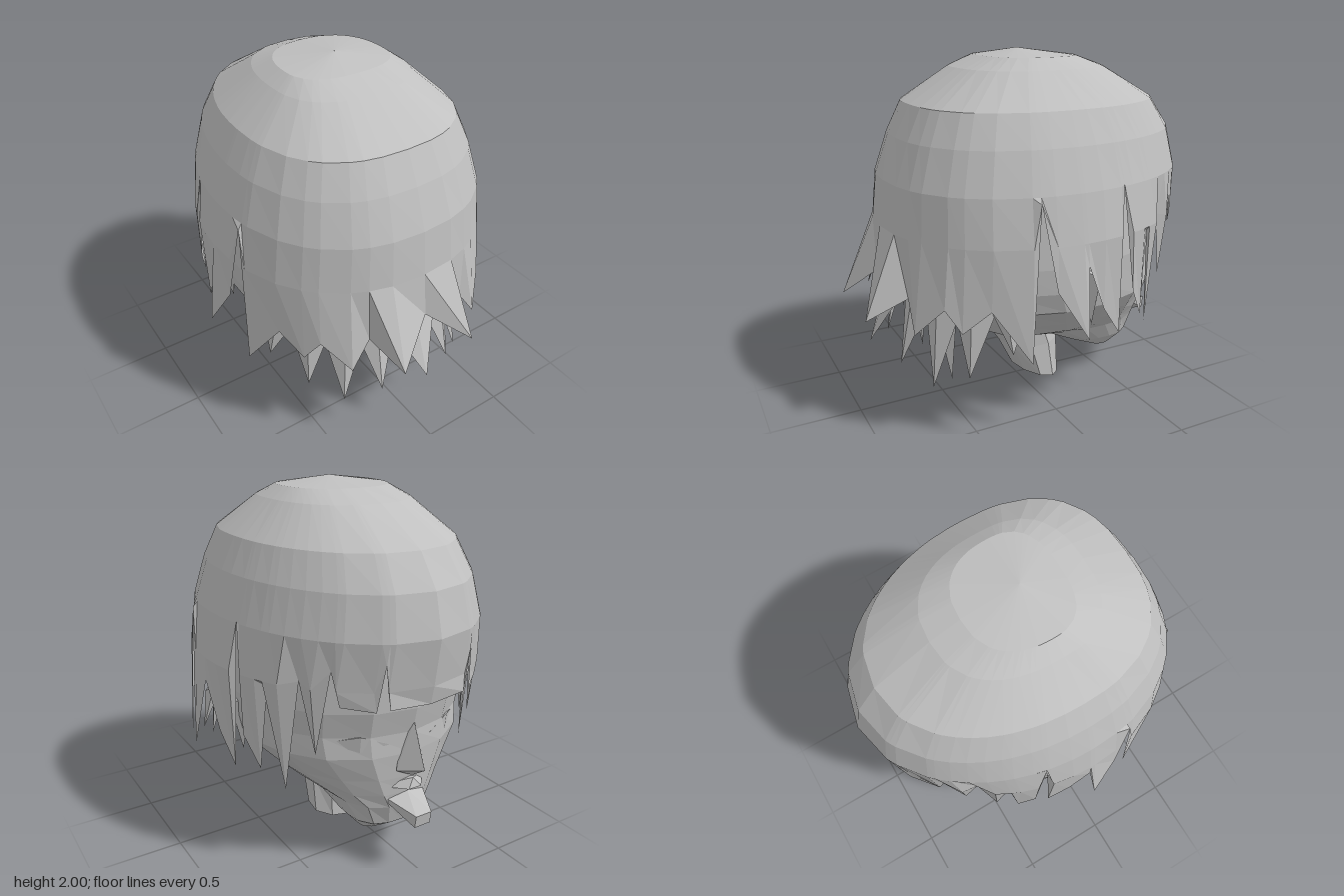
import * as THREE from 'three';
import { ConvexGeometry } from 'three/addons/geometries/ConvexGeometry.js';

const grey = new THREE.MeshStandardMaterial({ color: 0xc0c0c0, flatShading: true, side: THREE.DoubleSide });
grey.name = 'plain grey';

// Skin over closed rings of points, listed from top to bottom
function skin(rings) {
  const n = rings[0].length, index = [];
  for (let r = 0; r < rings.length - 1; r++) {
    for (let i = 0; i < n; i++) {
      const a = r * n + i, d = r * n + (i + 1) % n;
      index.push(a, a + n, d + n, a, d + n, d);
    }
  }
  const g = new THREE.BufferGeometry();
  g.setAttribute('position', new THREE.Float32BufferAttribute(rings.flat(2), 3));
  g.setIndex(index);
  const flat = g.toNonIndexed();
  flat.computeVertexNormals();
  return flat;
}

// Direction on a rounded square: power 2 is a circle, higher is squarer
function squarish(t, power) {
  const s = Math.sin(t), c = Math.cos(t);
  const k = (Math.abs(s) ** power + Math.abs(c) ** power) ** (-1 / power);
  return [s * k, c * k];
}

// Closed rings; row = [y, half width, back z, face z, squareness]
function loft(rows, sides, tilt = () => 0) {
  return skin(rows.map(([y, w, zb, zf, power = 2]) => Array.from({ length: sides }, (_, i) => {
    const [s, c] = squarish(i / sides * Math.PI * 2, power);
    const z = (zb + zf) / 2 + (zb - zf) / 2 * c;
    return [w * s, y + tilt(y, z), z];
  })));
}

const mirror = p => [-p[0], p[1], p[2]];
const solid = pts => new ConvexGeometry(pts.map(p => new THREE.Vector3(...p)));

// Jagged hem of the hair, from the nape round one side to the fringe
const hem = [
  [0, .83, .86], [.23, .64, 1], [.31, .76, .79], [.42, .6, .8], [.54, .76, .68],
  [.6, .64, .61], [.67, .76, .48], [.77, .48, .3], [.74, 1.3, .24], [.79, .85, .17],
  [.855, .59, .02], [.79, .96, -.01], [.77, .7, -.12], [.74, .53, -.24], [.71, 1.34, -.26],
  [.73, .75, -.33], [.68, .58, -.42], [.65, 1.05, -.46], [.59, .48, -.52], [.55, 1.1, -.6],
  [.5, .72, -.67], [.46, 1.18, -.75], [.43, 1, -.78], [.29, .98, -.89], [.26, 1.22, -.92],
  [.23, .99, -.92], [0, .98, -.94],
];

// Rows of the dome: y, half width, back z, face z, squareness of back and face halves
const domeRows = [
  [2, .001, .001, -.001, 2, 2], [1.96, .3, .22, -.32, 2.6, 2.4], [1.9, .385, .36, -.49, 2.6, 2.4],
  [1.72, .585, .635, -.815, 2.5, 2.1], [1.55, .665, .72, -.94, 2.4, 2],
  [1.33, .735, .8, -.995, 2.3, 1.95], [1.08, .78, .83, -.96, 2.2, 1.95],
];

function hairGeometry() {
  const columns = [...hem, ...hem.slice(1, -1).reverse().map(mirror)];
  const rings = domeRows.map(([y, w, zb, zf, pb, pf], r) => columns.map(p => {
    if (r === 6 && p[1] > 1.05) return p;
    const back = p[2] > 0;
    const t = Math.atan2(p[0] / .76, p[2] / (back ? .83 : .98));
    const [s, c] = squarish(t, back ? pb : pf);
    return [w * s, y, (back ? zb : -zf) * c];
  }));
  return skin([...rings, columns]);
}

// Pointed lock hanging from under the outer hair
function lock(tip, root, width) {
  const out = new THREE.Vector3(root[0], 0, root[2]).normalize();
  const at = (side, push, dy = 0) =>
    [root[0] + out.z * side + out.x * push, root[1] + dy, root[2] - out.x * side + out.z * push];
  return solid([at(-width, 0), at(width, 0), at(0, .07, -.08), at(0, -.05), tip]);
}

export function createModel() {
  const model = new THREE.Group();
  const add = (name, geometry) => {
    const m = new THREE.Mesh(geometry, grey);
    m.name = name;
    model.add(m);
  };
  const addPair = (name, make) => {
    add(name + 'Left', make(p => p));
    add(name + 'Right', make(mirror));
  };

  add('hair', hairGeometry());

  // Under layer of locks: tip, root, half width
  const locks = [
    [[.24, .2, .53], [.2, .7, .55], .11],
    [[.4, .27, .7], [.34, .78, .6], .14],
    [[.23, .36, .82], [.2, .78, .68], .13],
    [[.54, .35, .55], [.48, .78, .48], .14],
    [[.67, .5, .36], [.58, .8, .35], .13],
    [[.64, .56, -.13], [.64, .92, -.12], .1],
  ];
  for (const [tip, root, width] of locks) addPair('underLock', f => lock(f(tip), f(root), width));
  add('napeLock', lock([0, .42, .92], [0, .78, .74], .17));
  add('lowerNapeLock', lock([0, .27, .74], [0, .7, .6], .13));

  // Skull and jaw
  add('head', loft([
    [1.6, .001, -.05, -.06], [1.58, .46, .45, -.63], [1.3, .67, .7, -.85], [.92, .69, .72, -.84],
    [.78, .68, .7, -.81], [.66, .65, .62, -.81, 2.1], [.52, .51, .47, -.8, 2.2], [.42, .4, .34, -.79, 2.4],
    [.34, .29, -.02, -.78, 2.6], [.22, .22, -.28, -.74, 2.8], [.14, .15, -.46, -.63, 2.8],
    [.135, .001, -.54, -.55],
  ], 18));

  // Open neck, slanting from the nape down
  add('neck', loft([
    [.52, .22, .3, -.2], [.4, .21, .22, -.22], [.25, .2, .12, -.25], [.03, .2, .03, -.255],
  ], 10, (y, z) => y < .2 ? .26 * (z + .25) - .03 : 0));

  // Face
  add('nose', solid([
    [0, .84, -.82], [0, .6, -.92], [.09, .57, -.8], [-.09, .57, -.8], [.05, .74, -.78],
    [-.05, .74, -.78], [0, .53, -.82], [0, .7, -.7],
  ]));
  add('upperLip', solid([
    [.15, .46, -.72], [-.15, .46, -.72], [0, .52, -.83], [.04, .47, -.85], [-.04, .47, -.85], [0, .5, -.7],
  ]));
  add('lowerLip', solid([
    [.15, .42, -.69], [-.15, .42, -.69], [.05, .35, -.93], [-.05, .35, -.93],
    [.05, .28, -.92], [-.05, .28, -.92], [0, .27, -.76], [0, .43, -.78],
  ]));
  addPair('eyelid', f => solid([
    [.13, .73, -.79], [.43, .75, -.63], [.28, .79, -.75], [.28, .7, -.74], [.28, .75, -.6],
  ].map(f)));

  return model;
}
